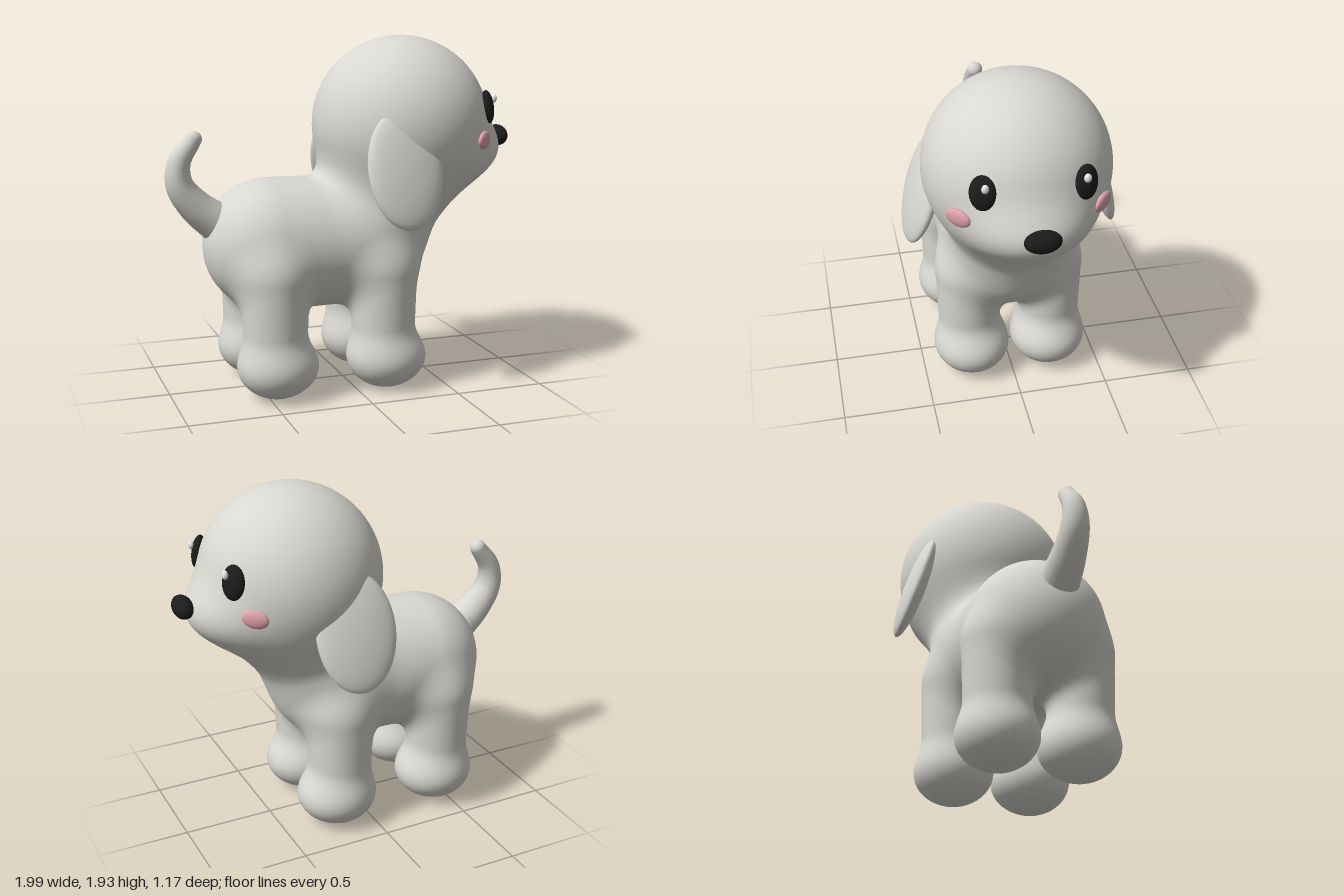
import * as THREE from 'three';

const material = (name, color) => {
  const m = new THREE.MeshStandardMaterial({ color });
  m.name = name;
  return m;
};

// Distance helpers for the blended body
const capsule = (p, a, b, ra, rb) => {
  const ab = [b[0] - a[0], b[1] - a[1], b[2] - a[2]];
  const ap = [p[0] - a[0], p[1] - a[1], p[2] - a[2]];
  const dot = ap[0] * ab[0] + ap[1] * ab[1] + ap[2] * ab[2];
  const t = Math.min(1, Math.max(0, dot / (ab[0] ** 2 + ab[1] ** 2 + ab[2] ** 2)));
  return Math.hypot(ap[0] - ab[0] * t, ap[1] - ab[1] * t, ap[2] - ab[2] * t) - ra - (rb - ra) * t;
};
const ellipsoid = (p, c, r) => {
  const q = [0, 1, 2].map((i) => (p[i] - c[i]) / r[i]);
  const k0 = Math.hypot(...q);
  const k1 = Math.hypot(q[0] / r[0], q[1] / r[1], q[2] / r[2]);
  return k1 < 1e-6 ? -Math.min(...r) : (k0 * (k0 - 1)) / k1;
};
const blend = (a, b, k) => {
  const h = Math.max(k - Math.abs(a - b), 0) / k;
  return Math.min(a, b) - h * h * k * 0.25;
};

// Torso, neck, head, muzzle, legs and paws melted into one skin
function bodyDistance(p) {
  const m = [p[0], p[1], Math.abs(p[2])];
  let d = capsule(p, [-0.425, 0.8, 0], [0.08, 0.8, 0], 0.367, 0.36);
  d = blend(d, capsule(p, [0.12, 0.85, 0], [0.36, 1.3, 0], 0.35, 0.35), 0.1);
  d = blend(d, ellipsoid(p, [0.34, 1.435, 0], [0.494, 0.494, 0.494]), 0.12);
  d = blend(d, ellipsoid(p, [0.6, 1.3, 0], [0.32, 0.2, 0.31]), 0.12);
  for (const [legX, pawX] of [[-0.46, -0.443], [0.16, 0.182]]) {
    let leg = capsule(m, [legX, 0.2, 0.23], [legX, 0.66, 0.23], 0.17, 0.185);
    leg = blend(leg, ellipsoid(m, [pawX, 0.172, 0.222], [0.22, 0.17, 0.212]), 0.07);
    d = blend(d, leg, 0.1);
  }
  return d;
}

const gradient = (f, p) => {
  const e = 0.002;
  const g = [0, 1, 2].map((i) => {
    const a = [...p], b = [...p];
    a[i] += e;
    b[i] -= e;
    return (f(a) - f(b)) / (2 * e);
  });
  return g;
};

// Wraps a quad mesh around the zero level of a distance function
function skinGeometry(f, min, max, step) {
  const n = min.map((v, i) => Math.ceil((max[i] - v) / step) + 1);
  const stride = [1, n[0], n[0] * n[1]];
  const at = (i, j, k) => [min[0] + i * step, min[1] + j * step, min[2] + k * step];
  const field = new Float32Array(n[0] * n[1] * n[2]);
  const eachNode = (visit) => {
    for (let k = 0; k < n[2]; k++)
      for (let j = 0; j < n[1]; j++)
        for (let i = 0; i < n[0]; i++) visit(i, j, k, i + j * stride[1] + k * stride[2]);
  };
  eachNode((i, j, k, id) => { field[id] = f(at(i, j, k)); });

  // One vertex per crossed cell, pulled onto the surface
  const vertexOf = new Int32Array(field.length).fill(-1);
  const positions = [], normals = [], index = [];
  eachNode((i, j, k, id) => {
    if (i + 1 >= n[0] || j + 1 >= n[1] || k + 1 >= n[2]) return;
    let inside = 0;
    for (let c = 0; c < 8; c++) {
      if (field[id + (c & 1) + ((c >> 1) & 1) * stride[1] + (c >> 2) * stride[2]] < 0) inside++;
    }
    if (inside === 0 || inside === 8) return;
    let p = at(i + 0.5, j + 0.5, k + 0.5);
    for (let s = 0; s < 3; s++) {
      const g = gradient(f, p);
      const w = f(p) / Math.max(0.2, g[0] ** 2 + g[1] ** 2 + g[2] ** 2);
      p = p.map((v, a) => v - g[a] * Math.max(-step, Math.min(step, w)));
    }
    const g = gradient(f, p);
    const len = Math.hypot(...g) || 1;
    vertexOf[id] = positions.length / 3;
    positions.push(...p);
    normals.push(...g.map((v) => v / len));
  });

  // One quad per crossed grid edge
  eachNode((i, j, k, id) => {
    const cell = [i, j, k];
    for (let a = 0; a < 3; a++) {
      const b = (a + 1) % 3, c = (a + 2) % 3;
      if (cell[a] + 1 >= n[a] || !cell[b] || !cell[c]) continue;
      const inA = field[id] < 0, inB = field[id + stride[a]] < 0;
      if (inA === inB) continue;
      const q = [id - stride[b] - stride[c], id - stride[c], id, id - stride[b]].map((v) => vertexOf[v]);
      if (q.includes(-1)) continue;
      if (inB) q.reverse();
      index.push(q[0], q[1], q[2], q[0], q[2], q[3]);
    }
  });
  const geometry = new THREE.BufferGeometry();
  geometry.setAttribute('position', new THREE.Float32BufferAttribute(positions, 3));
  geometry.setAttribute('normal', new THREE.Float32BufferAttribute(normals, 3));
  geometry.setIndex(index);
  return geometry;
}

// Tapered tube that narrows from root to tip
function tailGeometry(curve, rings, root, tip) {
  const sides = 24;
  const geometry = new THREE.TubeGeometry(curve, rings, 1, sides);
  const pos = geometry.attributes.position;
  const v = new THREE.Vector3();
  for (let i = 0; i < pos.count; i++) {
    const u = Math.floor(i / (sides + 1)) / rings;
    const c = curve.getPointAt(u);
    v.fromBufferAttribute(pos, i).sub(c).multiplyScalar(root + (tip - root) * u).add(c);
    pos.setXYZ(i, v.x, v.y, v.z);
  }
  return geometry;
}

export function createModel() {
  const group = new THREE.Group();
  group.name = 'puppy';
  const fur = material('fur', 0xd9d7d1);
  const black = material('black', 0x1c1c1c);
  const pink = material('blush', 0xe0a3ab);
  const white = material('eyeShine', 0xf4f4f4);

  const add = (name, geometry, mat, parent = group) => {
    const mesh = new THREE.Mesh(geometry, mat);
    mesh.name = name;
    parent.add(mesh);
    return mesh;
  };
  const ball = new THREE.SphereGeometry(1, 40, 28);
  const blob = (name, mat, position, radii) => {
    const mesh = add(name, ball, mat);
    mesh.position.set(...position);
    mesh.scale.set(...radii);
    return mesh;
  };

  add('body', skinGeometry(bodyDistance, [-0.86, -0.04, -0.55], [0.98, 1.98, 0.55], 0.024), fur);

  // Upturned tail with a round tip
  const tail = new THREE.Group();
  tail.name = 'tail';
  group.add(tail);
  const tailPath = new THREE.CatmullRomCurve3([
    [-0.72, 0.94], [-0.83, 1.03], [-0.915, 1.15], [-0.915, 1.27], [-0.835, 1.393],
  ].map(([x, y]) => new THREE.Vector3(x, y, 0)));
  add('tailTube', tailGeometry(tailPath, 40, 0.108, 0.045), fur, tail);
  const tip = add('tailTip', ball, fur, tail);
  tip.position.set(-0.835, 1.393, 0);
  tip.scale.setScalar(0.045);

  blob('nose', black, [0.945, 1.35, 0], [0.052, 0.06, 0.094]);

  for (const side of [1, -1]) {
    // Floppy ear, leaning outwards at the bottom
    const ear = blob('ear', fur, [0.186, 1.245, side * 0.475], [0.217, 0.318, 0.058]);
    ear.rotation.set(-0.29 * side, 0.1 * side, 0);

    // Eye and cheek face away from the head
    const eye = blob('eye', black, [0.757, 1.54, side * 0.256], [0.068, 0.092, 0.035]);
    eye.lookAt(1.21, 1.62, side * 0.5);
    blob('eyeShine', white, [0.797, 1.585, side * 0.25], [0.016, 0.024, 0.019]);
    const cheek = blob('cheek', pink, [0.69, 1.37, side * 0.365], [0.073, 0.051, 0.022]);
    cheek.lookAt(1.09, 1.32, side * 0.77);
  }
  return group;
}
